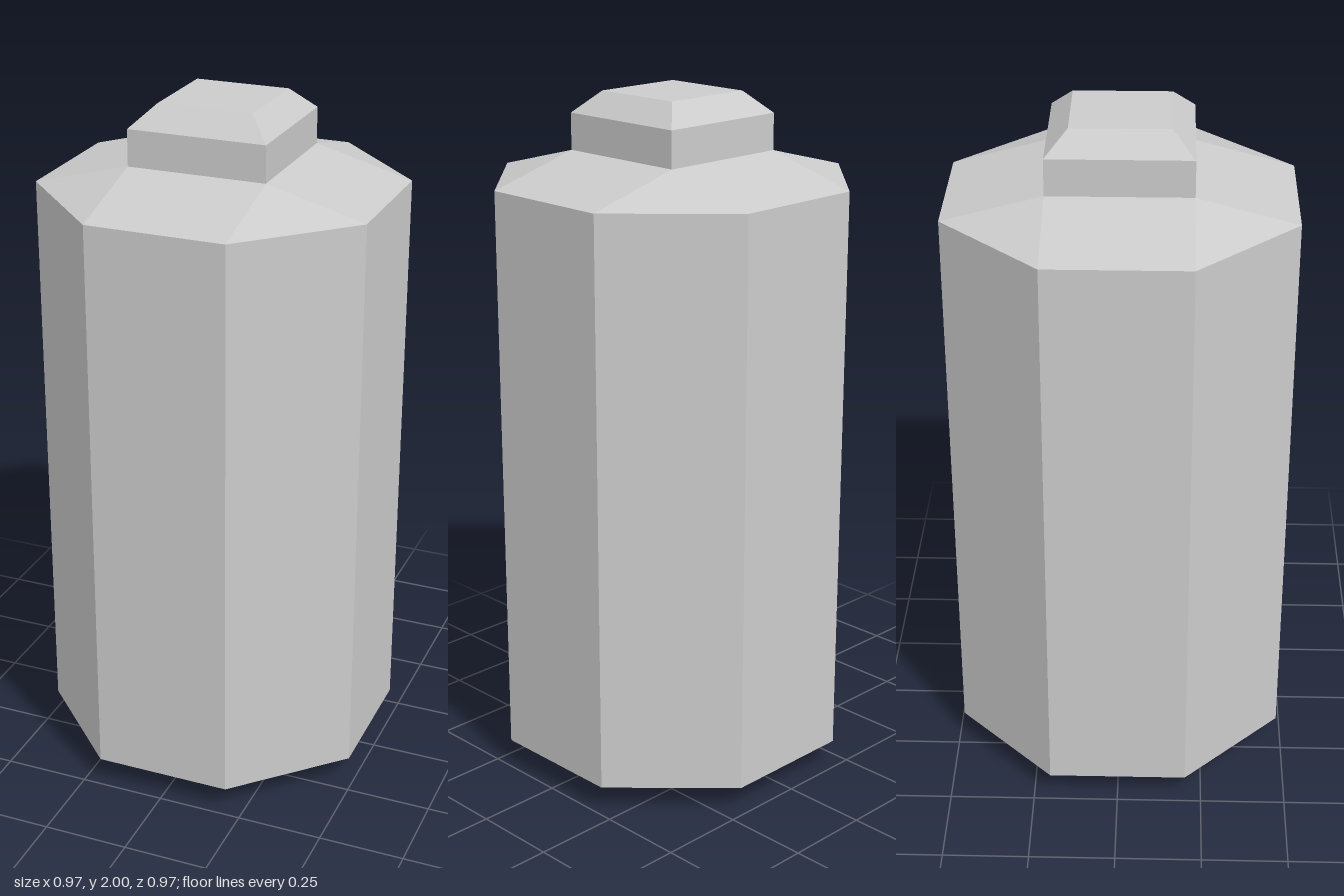
import * as THREE from 'three';

const HALF = 0.201; // half width of one octagon side and of the neck
const REACH = 0.485; // distance from the axis to a flat side

// Eight-point ring; when reach equals half it collapses to a square
function ring(y, half, reach = half) {
  return [
    [half, reach], [reach, half], [reach, -half], [half, -reach],
    [-half, -reach], [-reach, -half], [-reach, half], [-half, reach],
  ].map(([x, z]) => new THREE.Vector3(x, y, z));
}

// Joins rings from bottom to top, with optional flat ends
function loft(name, rings, { bottom = false, top = false }) {
  const points = [];
  const triangle = (a, b, c) => {
    if (new THREE.Triangle(a, b, c).getArea() > 1e-8) points.push(a, b, c);
  };
  for (let r = 0; r < rings.length - 1; r++) {
    const low = rings[r], high = rings[r + 1];
    for (let i = 0; i < 8; i++) {
      const j = (i + 1) % 8;
      triangle(low[i], low[j], high[j]);
      triangle(low[i], high[j], high[i]);
    }
  }
  const first = rings[0], last = rings[rings.length - 1];
  for (let i = 1; i < 7; i++) {
    if (bottom) triangle(first[0], first[i + 1], first[i]);
    if (top) triangle(last[0], last[i], last[i + 1]);
  }
  const geometry = new THREE.BufferGeometry().setFromPoints(points);
  geometry.computeVertexNormals();
  const material = new THREE.MeshStandardMaterial({ color: 0xcccccc, flatShading: true });
  const mesh = new THREE.Mesh(geometry, material);
  mesh.name = name;
  return mesh;
}

export function createModel() {
  const model = new THREE.Group();
  model.name = 'canister';

  // Octagonal body with shallow sloping base and shoulder
  model.add(loft('body', [
    ring(0, HALF),
    ring(0.077, HALF, REACH),
    ring(1.757, HALF, REACH),
    ring(1.833, HALF),
  ], { bottom: true }));

  // Square cap with a bevelled top
  model.add(loft('cap', [
    ring(1.833, HALF),
    ring(1.938, HALF),
    ring(2, 0.138),
  ], { top: true }));

  return model;
}
